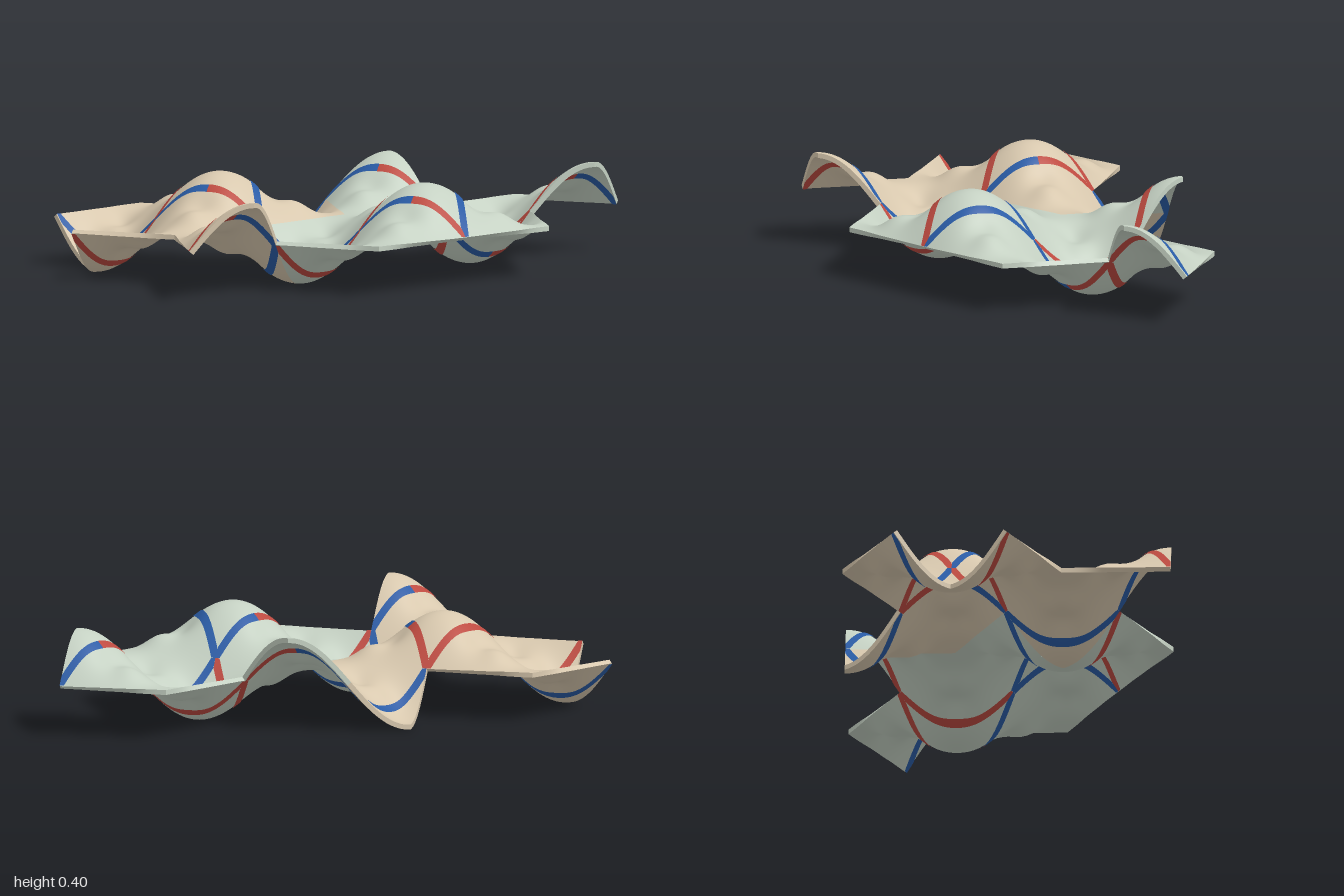
import * as THREE from 'three';
import { mergeGeometries } from 'three/addons/utils/BufferGeometryUtils.js';

const A = 0.4445;                 // side of the hexagons
const ROW = Math.sqrt(3) * A;     // distance between hexagon rows
const ORIGIN = [0.111, -0.1925];  // centre of the middle hexagon
const HALF = 0.01;                // half of the sheet thickness
const LIFT = 0.0035;              // ribbons sit just above the sheet

const mat = (name, color) => Object.assign(new THREE.MeshStandardMaterial({ color }), { name });

// Each tile is a group of kites: hexagon position, then kite number and the
// colours of its two ribbon halves (b = blue, r = red).
const TILES = {
  tanTile: [
    [0, 0, { 2: 'br', 3: 'bb' }],
    [-2, 0, { 0: 'rr', 1: 'bb' }],
    [-1, 1, { 3: 'rr', 4: 'br', 5: 'bb', 0: 'br' }],
  ],
  greenTile: [
    [0, 0, { 4: 'br', 5: 'rr', 0: 'br', 1: 'bb' }],
    [1, 1, { 3: 'rr', 4: 'br' }],
    [2, 0, { 2: 'bb', 3: 'br' }],
    [1, -1, { 0: 'br', 1: 'rr' }],
  ],
};

const polar = (r, deg) => {
  const t = THREE.MathUtils.degToRad(deg);
  return [r * Math.cos(t), r * Math.sin(t)];
};
const mix = (p, q, t) => [p[0] + (q[0] - p[0]) * t, p[1] + (q[1] - p[1]) * t];

// Three crossing waves plus a small ripple on each slope, around a hexagon centre
function height(x, z) {
  let y = 0.2;
  for (let i = 0; i < 6; i++) {
    const [dx, dz] = polar(1, 30 + 60 * i);
    const s = x * dx + z * dz, w = x * dz - z * dx;
    const bump = (c) => Math.exp(-((s - c) ** 2 + w * w) / (2 * 0.045 ** 2));
    if (i % 2) y += (0.19 / 2.598) * Math.sin((2 * Math.PI / ROW) * s);
    y += (i % 2 ? -1 : 1) * 0.026 * (bump(0.2) - bump(0.31));
  }
  return y;
}

function normalAt([x, z]) {
  const e = 0.001;
  return new THREE.Vector3(
    (height(x - e, z) - height(x + e, z)) / (2 * e), 1,
    (height(x, z - e) - height(x, z + e)) / (2 * e)).normalize();
}

// Point on the sheet, moved along its normal
const onSheet = (p, offset) =>
  new THREE.Vector3(p[0], height(p[0], p[1]), p[1]).addScaledVector(normalAt(p), offset);

// Grid of n by m quads from a rule giving the position and, if wanted, the normal
function grid(n, m, flip, rule) {
  const pos = [], nor = [], idx = [];
  for (let i = 0; i <= n; i++) {
    for (let j = 0; j <= m; j++) {
      const { p, normal } = rule(i / n, j / m);
      pos.push(p.x, p.y, p.z);
      if (normal) nor.push(normal.x, normal.y, normal.z);
      if (i === n || j === m) continue;
      const a = i * (m + 1) + j, b = a + m + 1;
      if (flip) idx.push(a, a + 1, b, b, a + 1, b + 1);
      else idx.push(a, b, a + 1, b, b + 1, a + 1);
    }
  }
  const g = new THREE.BufferGeometry();
  g.setAttribute('position', new THREE.Float32BufferAttribute(pos, 3));
  g.setIndex(idx);
  if (nor.length) g.setAttribute('normal', new THREE.Float32BufferAttribute(nor, 3));
  else g.computeVertexNormals();
  return g;
}

// One skin (upper or lower) over a patch of the plan
const skin = (n, m, side, offset, plan) => grid(n, m, side > 0, (u, v) => {
  const p = plan(u, v);
  return { p: onSheet(p, side * offset), normal: normalAt(p).multiplyScalar(side) };
});

const kiteCorners = (i) =>
  [[0, 0], polar(A, 60 * i), polar(ROW * 2 / 3, 30 + 60 * i), polar(A, 60 * i + 60)];

export function createModel() {
  const model = new THREE.Group();
  model.name = 'wavyTiles';
  const materials = {
    tanTile: mat('tan', 0xd8c8ae),
    greenTile: mat('paleGreen', 0xc5d1c3),
    b: mat('blue', 0x2a5ca6),
    r: mat('red', 0xbd4a40),
  };
  const parts = { tanTile: [], greenTile: [], b: [], r: [] };

  const centre = (u, v) => [ORIGIN[0] + u * A, ORIGIN[1] + v * ROW];
  const edgeKey = (c, p, q) => [0, 1]
    .map((k) => Math.round((c[k] + (p[k] + q[k]) / 2) * 50 + 1000)).join();

  // Count the kite edges so that walls are built on the outline only
  const uses = {};
  for (const cells of Object.values(TILES)) {
    for (const [u, v, kites] of cells) {
      for (const i of Object.keys(kites)) {
        const c = kiteCorners(+i);
        c.forEach((p, k) => {
          const key = edgeKey(centre(u, v), p, c[(k + 1) % 4]);
          uses[key] = (uses[key] || 0) + 1;
        });
      }
    }
  }

  for (const [tile, cells] of Object.entries(TILES)) {
    for (const [cu, cv, kites] of cells) {
      const c = centre(cu, cv);
      const add = (part, g) => parts[part].push(g.translate(c[0], 0, c[1]));

      for (const [i, colours] of Object.entries(kites)) {
        const corners = kiteCorners(+i);
        const [hub, k0, tip, k1] = corners;

        // Upper and lower skins
        for (const side of [1, -1]) {
          add(tile, skin(24, 24, side, HALF, (u, v) => mix(mix(hub, k0, u), mix(k1, tip, u), v)));
        }

        // Outer walls
        corners.forEach((p, k) => {
          const q = corners[(k + 1) % 4];
          if (uses[edgeKey(c, p, q)] > 1) return;
          add(tile, grid(24, 1, true, (u, v) => ({ p: onSheet(mix(p, q, u), (v * 2 - 1) * HALF) })));
        });

        // Ribbon halves on both faces, pointed to fit the kite's corners
        const out = polar(1, 30 + 60 * i);
        const middle = mix(k0, k1, 0.5);
        [k0, k1].forEach((end, h) => {
          const strip = (u, v) => {
            const d = u * A / 2;
            const p = mix(end, middle, u);
            const inner = Math.min(0.015, d * 1.73), outer = Math.min(0.015, d * 0.577);
            const w = -inner + (inner + outer) * v;
            return [p[0] + out[0] * w, p[1] + out[1] * w];
          };
          for (const side of [1, -1]) {
            // the second half runs the other way, so its plan is reversed
            const plan = h ? (u, v) => strip(1 - u, v) : strip;
            add(colours[h], skin(24, 3, side, HALF + LIFT, (u, v) => plan(u, 1 - v)));
          }
        });
      }
    }
  }

  const names = { tanTile: 'tanTile', greenTile: 'greenTile', b: 'blueRibbons', r: 'redRibbons' };
  for (const [key, geometries] of Object.entries(parts)) {
    const mesh = new THREE.Mesh(mergeGeometries(geometries), materials[key]);
    mesh.name = names[key];
    model.add(mesh);
  }
  return model;
}
